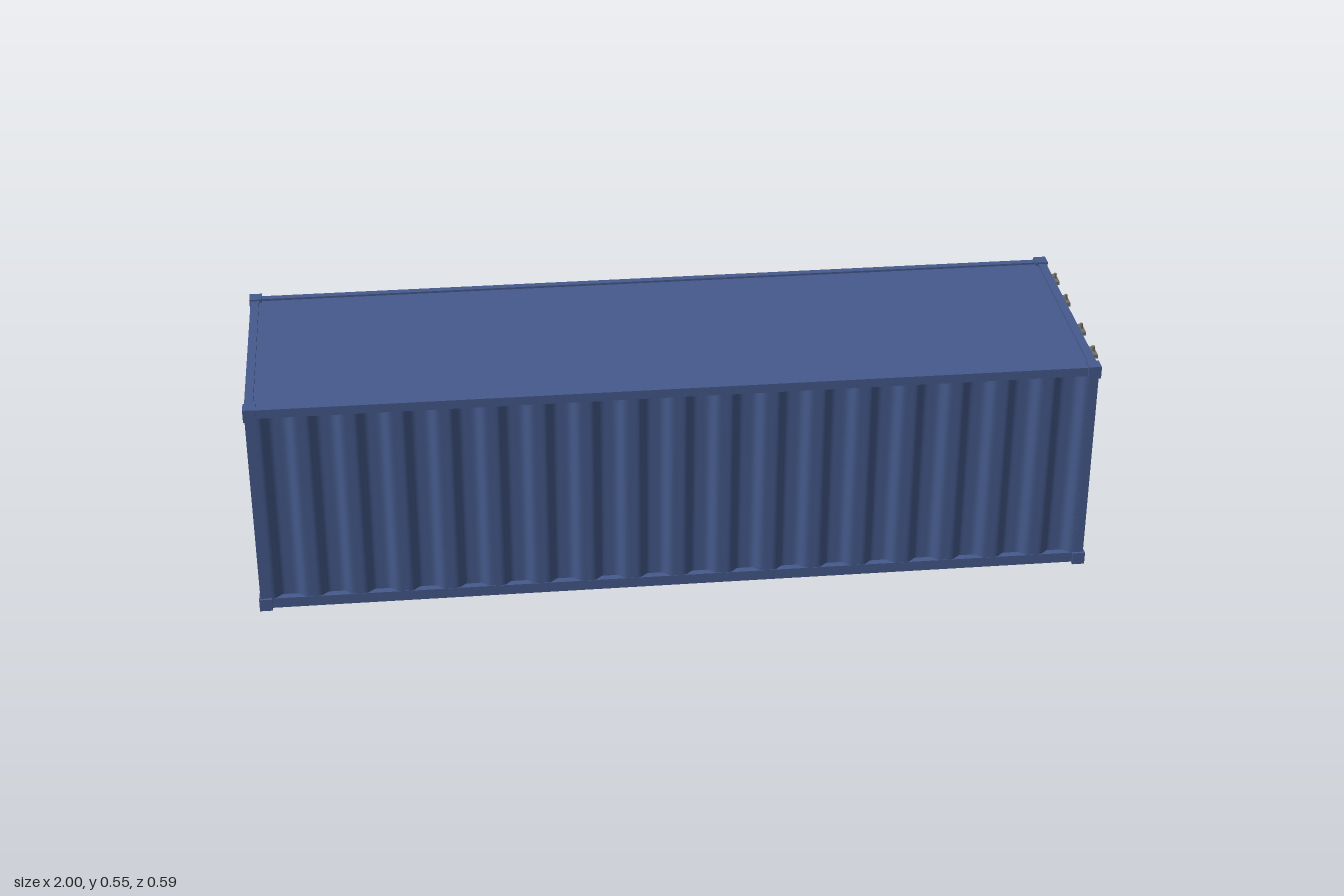
import * as THREE from 'three';

const blue = new THREE.MeshStandardMaterial({ color: 0x455a8c, side: THREE.DoubleSide });
const steel = new THREE.MeshStandardMaterial({ color: 0x706e68 });

export function createModel() {
  const model = new THREE.Group();

  const add = (name, geometry, material = blue, parent = model) => {
    const mesh = new THREE.Mesh(geometry, material);
    mesh.name = name;
    parent.add(mesh);
    return mesh;
  };
  // Box given by its limits on each axis
  const box = (name, [x0, x1], [y0, y1], [z0, z1], material = blue, parent = model) => {
    const mesh = add(name, new THREE.BoxGeometry(x1 - x0, y1 - y0, z1 - z0), material, parent);
    mesh.position.set((x0 + x1) / 2, (y0 + y1) / 2, (z0 + z1) / 2);
    return mesh;
  };
  const rect = (Type, x0, x1, y0, y1) => new Type([
    new THREE.Vector2(x0, y0), new THREE.Vector2(x1, y0),
    new THREE.Vector2(x1, y1), new THREE.Vector2(x0, y1),
  ]);

  // Corrugated side walls: flat crests and valleys joined by smooth slopes
  const waves = 18, length = 1.95;
  const wallGeometry = new THREE.PlaneGeometry(length, 0.5, waves * 16, 1);
  const p = wallGeometry.attributes.position;
  for (let i = 0; i < p.count; i++) {
    const c = Math.cos((p.getX(i) / length + 0.5) * waves * Math.PI * 2);
    const t = THREE.MathUtils.clamp(0.5 + c * 0.75, 0, 1);
    p.setZ(i, 0.269 + 0.017 * THREE.MathUtils.smoothstep(t, 0, 1));
  }
  wallGeometry.computeVertexNormals();
  for (const side of [1, -1]) {
    const wall = add(side > 0 ? 'frontWall' : 'backWall', wallGeometry);
    wall.position.set(-0.005, 0.272, 0);
    wall.rotation.y = side > 0 ? 0 : Math.PI;
  }

  // Roof, floor and closed end
  box('roof', [-0.99, 0.97], [0.525, 0.535], [-0.272, 0.272]);
  box('floor', [-0.99, 0.97], [0.008, 0.02], [-0.272, 0.272]);
  box('endWall', [-0.993, -0.98], [0.01, 0.535], [-0.272, 0.272]);

  // Rails, posts and corner castings
  for (const s of [1, -1]) {
    const z = s > 0 ? [0.27, 0.287] : [-0.287, -0.27];
    box('bottomRail', [-0.997, 0.965], [0.004, 0.03], z);
    box('topRail', [-0.997, 0.965], [0.518, 0.54], z);
    box('endPost', [-0.997, -0.977], [0.004, 0.54], z);
    box('doorPost', [0.963, 0.98], [0.006, 0.538], z);
    for (const x of [[-1, -0.97], [0.957, 0.987]])
      for (const y of [[0, 0.031], [0.513, 0.544]])
        box('cornerCasting', x, y, s > 0 ? [0.261, 0.293] : [-0.293, -0.261]);
  }
  box('endSill', [-0.997, -0.977], [0.004, 0.022], [-0.275, 0.275]);
  box('endHeader', [-0.997, -0.977], [0.522, 0.54], [-0.275, 0.275]);

  // Door end: one plate with an opening for each door panel
  const plate = rect(THREE.Shape, -0.287, 0.287, 0.004, 0.54);
  plate.holes.push(rect(THREE.Path, -0.255, -0.006, 0.04, 0.505));
  plate.holes.push(rect(THREE.Path, 0.006, 0.255, 0.04, 0.505));
  const doorFrame = add('doorFrame',
    new THREE.ExtrudeGeometry(plate, { depth: 0.02, bevelEnabled: false }));
  doorFrame.rotation.y = Math.PI / 2;
  doorFrame.position.x = 0.963;

  // Pressed door panels: recesses with sloping upper and lower edges
  const outer = 0.983, inner = 0.969;
  const profile = [
    [0.955, 0.04], [inner, 0.04], [inner, 0.07], [outer, 0.081],
    [outer, 0.131], [inner, 0.146], [inner, 0.331], [outer, 0.336],
    [outer, 0.352], [inner, 0.357], [inner, 0.416], [outer, 0.421],
    [outer, 0.435], [inner, 0.44], [inner, 0.505], [0.955, 0.505],
  ];
  const panelGeometry = new THREE.ExtrudeGeometry(
    new THREE.Shape(profile.map(([x, y]) => new THREE.Vector2(x, y))),
    { depth: 0.249, bevelEnabled: false });

  for (const s of [1, -1]) {
    const door = new THREE.Group();
    door.name = s > 0 ? 'leftDoor' : 'rightDoor';
    door.position.y = s > 0 ? 0 : -0.002;
    model.add(door);
    add('doorPanel', panelGeometry, blue, door).position.z = s > 0 ? 0.006 : -0.255;

    // Locking bars with brackets and handles
    for (const d of [0.079, 0.195]) {
      const z = s * d;
      const bar = add('lockingBar', new THREE.CylinderGeometry(0.0042, 0.0042, 0.531, 12), steel, door);
      bar.position.set(0.99, 0.2815, z);
      for (const y of [0.11, 0.427, 0.53])
        box('barBracket', [0.981, 0.997], [y - 0.0045, y + 0.0045], [z - 0.0225, z + 0.0225], steel, door);
      const h = z + s * 0.027;
      const hub = z + s * 0.006;
      box('handleHub', [0.982, 0.998], [0.254, 0.267], [hub - 0.006, hub + 0.006], steel, door);
      box('handleLever', [0.988, 0.994], [0.2585, 0.2625], [h - 0.018, h + 0.018], steel, door);
      box('handleCatch', [0.968, 1], [0.238, 0.274], [h - 0.0045, h + 0.0045], steel, door);
    }
  }
  return model;
}
